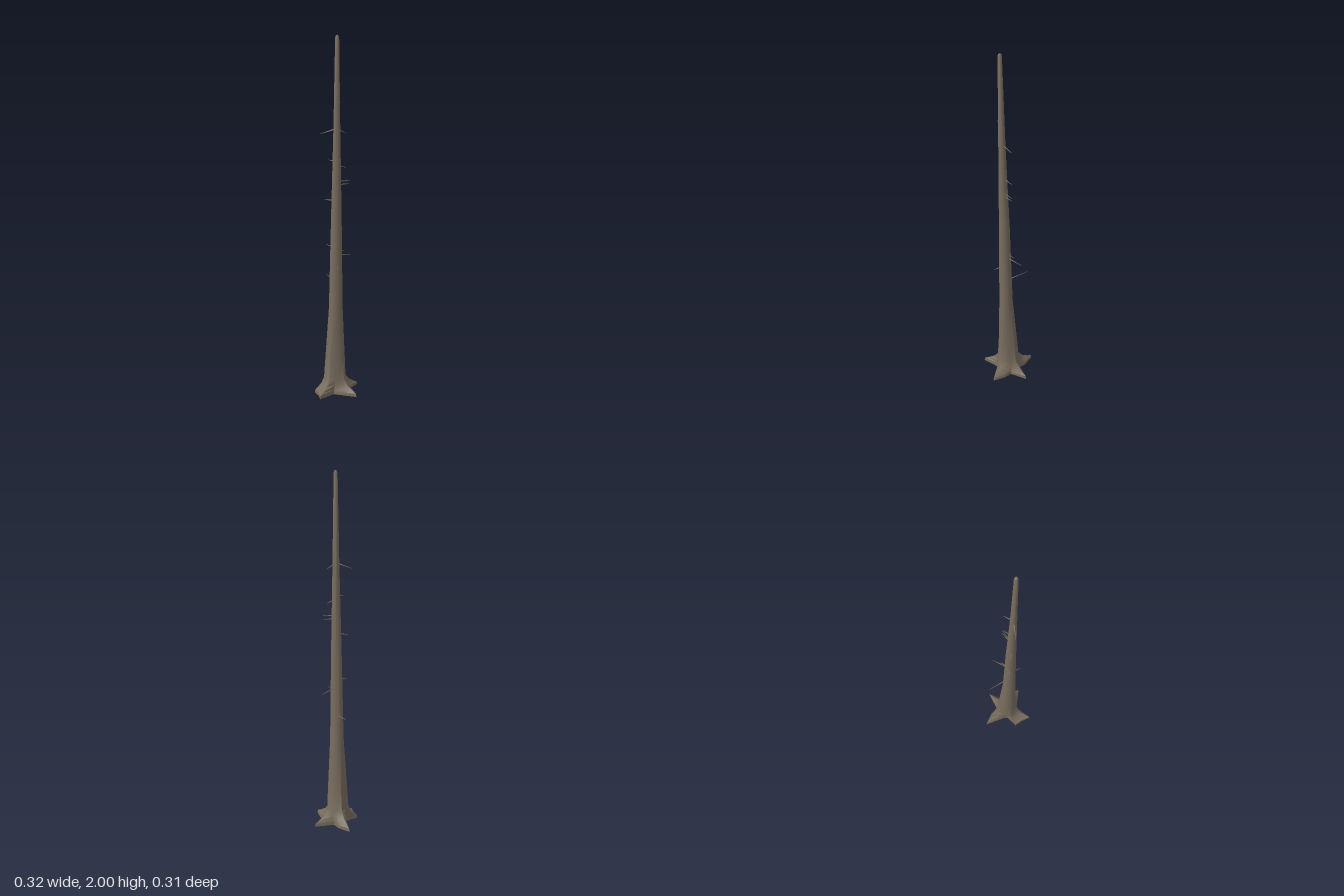
import * as THREE from 'three';
import { toCreasedNormals } from 'three/addons/utils/BufferGeometryUtils.js';

// Root footprint, corner by corner (x, z), turning from +x towards +z
const FOOT = [
  [0.16, -0.03], [0.105, 0.008], [0.05, 0.045], [0.063, 0.152], [0.01, 0.127],
  [-0.037, 0.117], [-0.035, 0.04], [-0.05, 0.025], [-0.163, -0.033], [-0.085, -0.055],
  [-0.035, -0.05], [0.007, -0.155], [0.04, -0.06], [0.095, -0.055],
];

// Trunk stations: height, centre x, centre z, radius, share of the footprint
const STATIONS = [
  [0, 0, 0, 0.06, 1], [0.018, 0, 0, 0.06, 0.96], [0.028, 0, 0, 0.06, 0.72],
  [0.05, 0.001, 0.001, 0.06, 0.36], [0.085, 0.003, 0.003, 0.058, 0.1],
  [0.2, 0.006, 0.004, 0.054, 0.05], [0.5, 0.016, 0.008, 0.039, 0],
  [1, 0.025, 0.011, 0.030, 0], [1.5, 0.036, 0.016, 0.019, 0],
  [1.985, 0.044, 0.02, 0.011, 0], [1.996, 0.044, 0.02, 0.008, 0], [2, 0.044, 0.02, 0.0005, 0],
];

// Twigs: starting height, then tip x, y, z
const TWIGS = [
  [0.64, -0.12, 0.656, -0.03], [0.742, 0.083, 0.73, 0.038], [0.85, -0.022, 0.857, 0.045],
  [1.11, -0.024, 1.112, 0.054], [1.325, -0.012, 1.332, 0.035], [1.505, -0.022, 1.476, 0.082],
  [1.505, 0.032, 1.476, -0.05], [1.65, 0.068, 1.645, 0.015], [1.305, 0.028, 1.288, -0.052],
  [1.215, 0.045, 1.218, -0.068], [1.197, 0.04, 1.198, -0.066], [0.832, 0.01, 0.815, -0.054],
  [0.805, 0.0, 0.785, -0.105],
];

// Trunk centre at a height
function centreAt(y) {
  const i = STATIONS.findIndex((s) => s[0] >= y);
  const a = STATIONS[i - 1], b = STATIONS[i];
  const t = (y - a[0]) / (b[0] - a[0]);
  return new THREE.Vector3(a[1] + (b[1] - a[1]) * t, y, a[2] + (b[2] - a[2]) * t);
}

// Loft from the star-shaped roots to the round tip
function trunkGeometry() {
  const n = FOOT.length, pos = [], index = [];
  STATIONS.forEach(([y, cx, cz, r, w], i) => {
    FOOT.forEach(([fx, fz], j) => {
      const a = -0.18 + (j / n) * Math.PI * 2;
      pos.push(
        THREE.MathUtils.lerp(cx + r * Math.cos(a), fx, w), y,
        THREE.MathUtils.lerp(cz + r * Math.sin(a), fz, w));
      if (i === 0) return;
      const k = (j + 1) % n, lo = (i - 1) * n, hi = i * n;
      index.push(lo + j, hi + j, lo + k, lo + k, hi + j, hi + k);
    });
  });
  const g = new THREE.BufferGeometry();
  g.setAttribute('position', new THREE.Float32BufferAttribute(pos, 3));
  g.setIndex(index);
  return toCreasedNormals(g, 0.6);
}

export function createModel() {
  const model = new THREE.Group();
  model.name = 'bareTree';
  const bark = new THREE.MeshStandardMaterial({ color: 0x786c5e, side: THREE.DoubleSide });

  const trunk = new THREE.Mesh(trunkGeometry(), bark);
  trunk.name = 'trunkAndRoots';
  model.add(trunk);

  // Broken twigs: thin spikes from the trunk's core outwards
  const twigs = new THREE.Group();
  twigs.name = 'twigs';
  for (const [y, x, ty, z] of TWIGS) {
    const from = centreAt(y), tip = new THREE.Vector3(x, ty, z);
    const dir = tip.clone().sub(from), length = dir.length();
    const twig = new THREE.Mesh(new THREE.CylinderGeometry(0.001, 0.005, length, 5), bark);
    twig.name = 'twig';
    twig.position.copy(from).add(tip).multiplyScalar(0.5);
    twig.quaternion.setFromUnitVectors(new THREE.Vector3(0, 1, 0), dir.normalize());
    twigs.add(twig);
  }
  model.add(twigs);
  return model;
}
